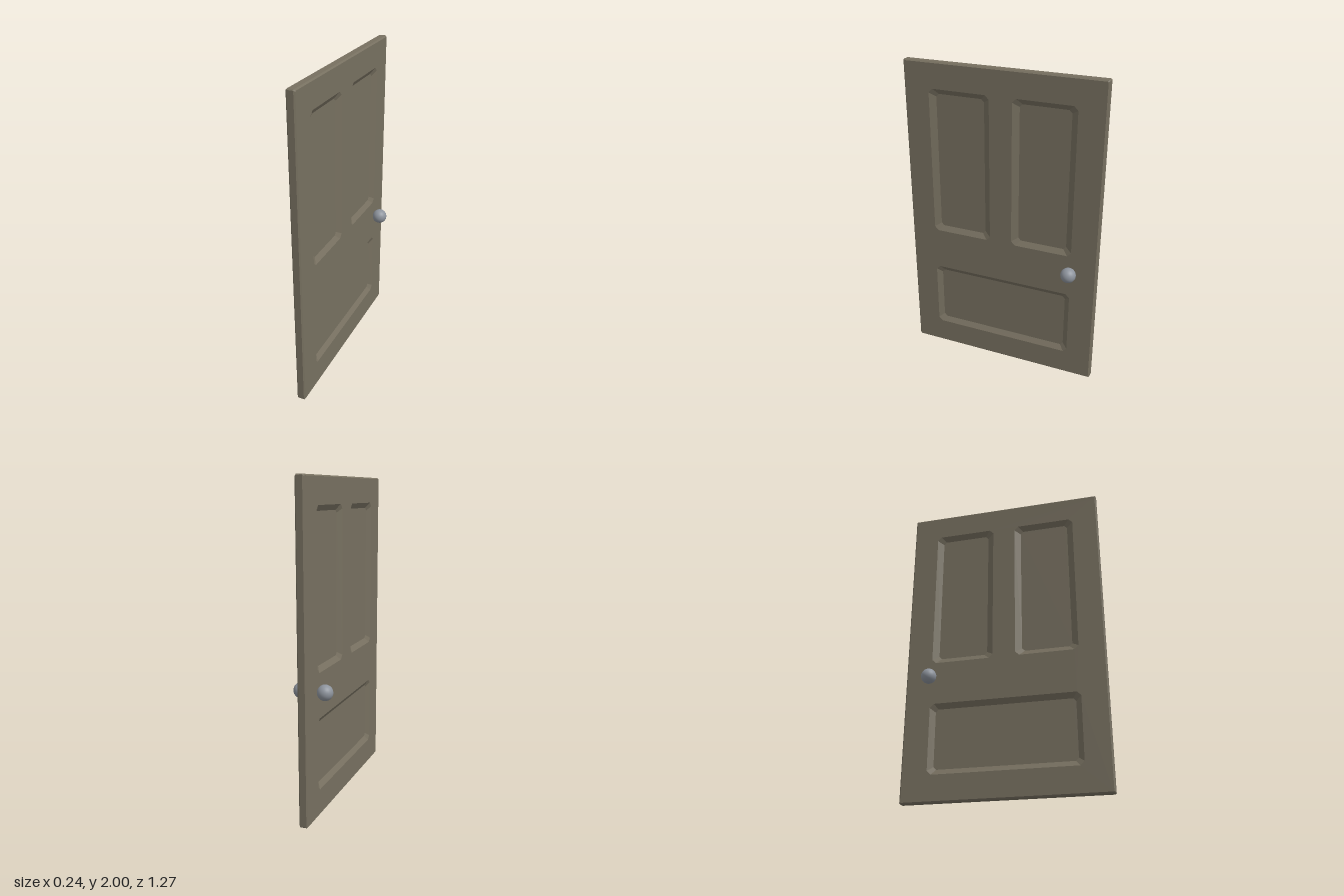
import * as THREE from 'three';

const HALF_T = 0.0275, HALF_W = 0.637, HEIGHT = 2, EDGE = 0.008, DEPTH = 0.022;

// Rectangle with cut corners, counter-clockwise
function cutRect(x0, x1, y0, y1, c) {
  return [[x0 + c, y0], [x1 - c, y0], [x1, y0 + c], [x1, y1 - c],
    [x1 - c, y1], [x0 + c, y1], [x0, y1 - c], [x0, y0 + c]]
    .map(([x, y]) => new THREE.Vector2(x, y));
}

// Band of flat quads between two loops lying at depths za and zb
function band(a, za, b, zb) {
  const p = [];
  a.forEach((a0, i) => {
    const j = (i + 1) % a.length, a1 = a[j], b0 = b[i], b1 = b[j];
    p.push(a0.x, a0.y, za, a1.x, a1.y, za, b1.x, b1.y, zb);
    p.push(a0.x, a0.y, za, b1.x, b1.y, zb, b0.x, b0.y, zb);
  });
  const g = new THREE.BufferGeometry();
  g.setAttribute('position', new THREE.Float32BufferAttribute(p, 3));
  g.computeVertexNormals();
  return g;
}

export function createModel() {
  const model = new THREE.Group();
  model.name = 'door';
  const wood = new THREE.MeshStandardMaterial({ name: 'paintedWood', color: 0x777060 });
  const metal = new THREE.MeshStandardMaterial({ name: 'knobMetal', color: 0x8d939c });
  const add = (parent, name, geometry, material) => {
    const mesh = new THREE.Mesh(geometry, material);
    mesh.name = name;
    parent.add(mesh);
    return mesh;
  };

  // Sunken panels: x0, x1, y0, y1, bevel width
  const panels = [
    [-0.472, -0.075, 0.885, 1.837, 0.04],
    [0.072, 0.47, 0.885, 1.837, 0.04],
    [-0.474, 0.472, 0.165, 0.61, 0.034],
  ];
  const outer = cutRect(-HALF_W, HALF_W, 0, HEIGHT, 0.006);
  const inner = cutRect(-HALF_W + EDGE, HALF_W - EDGE, EDGE, HEIGHT - EDGE, 0.004);

  // The two faces, each drawn facing +z and then turned to +x or -x
  for (const side of [1, -1]) {
    const face = new THREE.Group();
    face.name = side > 0 ? 'leftFace' : 'rightFace';
    face.rotation.y = side * Math.PI / 2;
    model.add(face);

    const frame = new THREE.Shape(inner);
    for (let [x0, x1, y0, y1, w] of panels) {
      if (side < 0) [x0, x1] = [-x1, -x0];
      const rim = cutRect(x0, x1, y0, y1, 0.025);
      const floor = cutRect(x0 + w, x1 - w, y0 + 0.033, y1 - 0.033, 0.018);
      frame.holes.push(new THREE.Path(rim));
      add(face, 'panelBevel', band(rim, HALF_T, floor, HALF_T - DEPTH), wood);
      add(face, 'panel', new THREE.ShapeGeometry(new THREE.Shape(floor)), wood)
        .position.z = HALF_T - DEPTH;
    }
    add(face, 'frame', new THREE.ShapeGeometry(frame), wood).position.z = HALF_T;
    add(face, 'edgeChamfer', band(outer, HALF_T - EDGE, inner, HALF_T), wood);
    add(face, 'edge', band(outer, 0, outer, HALF_T - EDGE), wood);

    // Round knob
    add(model, side > 0 ? 'leftKnob' : 'rightKnob',
      new THREE.SphereGeometry(0.048, 24, 16), metal)
      .position.set(side * 0.0735, 0.78, -0.472);
  }
  return model;
}
